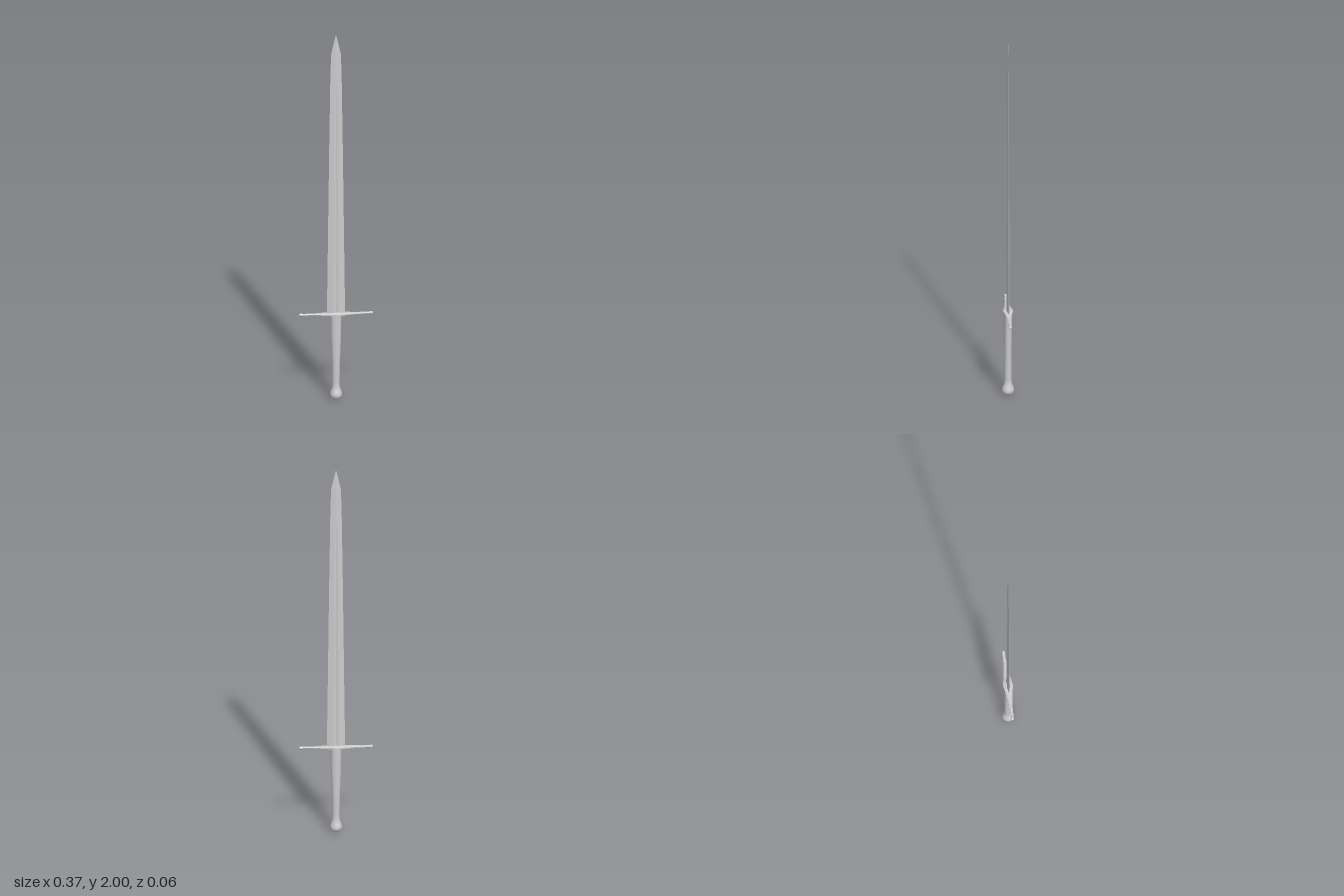
import * as THREE from 'three';

// Skin a list of closed rings (all the same length, counter-clockwise seen from the far end) and cap both ends
function loft(rings, flatShading) {
  const n = rings[0].length, index = [];
  const points = rings.flat();
  for (let r = 0; r < rings.length - 1; r++) {
    for (let i = 0; i < n; i++) {
      const a = r * n + i, b = r * n + (i + 1) % n;
      index.push(a, b, b + n, a, b + n, a + n);
    }
  }
  for (const r of [0, rings.length - 1]) {
    const ring = rings[r], start = points.length;
    const centre = [0, 1, 2].map(k => ring.reduce((sum, p) => sum + p[k], 0) / n);
    points.push(...ring.map(p => [...p]), centre);
    for (let i = 0; i < n; i++) {
      const a = start + i, b = start + (i + 1) % n, c = start + n;
      if (r === 0) index.push(c, b, a);
      else index.push(c, a, b);
    }
  }
  const geometry = new THREE.BufferGeometry();
  geometry.setAttribute('position', new THREE.Float32BufferAttribute(points.flat(), 3));
  geometry.setIndex(index);
  geometry.computeVertexNormals();
  return new THREE.Mesh(geometry, new THREE.MeshStandardMaterial({ color: 0xcccccc, flatShading }));
}

// Horizontal ellipse ring at height y
function ellipse(y, rx, rz, sides = 20) {
  return Array.from({ length: sides }, (_, i) => {
    const a = i / sides * Math.PI * 2;
    return [rx * Math.cos(a), y, -rz * Math.sin(a)];
  });
}

export function createModel() {
  const sword = new THREE.Group();
  sword.name = 'sword';

  // Blade: height, half width, ridge offset, half thickness at ridge and at the fuller's floor
  const blade = loft([
    [0.465, 0.046, 0.013, 0.0075, 0.003],
    [0.67, 0.043, 0.012, 0.0065, 0.0025],
    [1.32, 0.035, 0.010, 0.005, 0.002],
    [1.66, 0.030, 0.008, 0.0042, 0.002],
    [1.73, 0.029, 0.004, 0.0038, 0.0038],
    [1.89, 0.025, 0.003, 0.0033, 0.0033],
    [1.95, 0.012, 0.0015, 0.002, 0.002],
    [2.0, 0.0004, 0.0001, 0.0002, 0.0002],
  ].map(([y, w, r, t, f]) => [
    [w, y, 0], [r, y, -t], [0, y, -f], [-r, y, -t],
    [-w, y, 0], [-r, y, t], [0, y, f], [r, y, t],
  ]), true);
  blade.name = 'blade';
  sword.add(blade);

  // Crossguard: octagonal sections along x as [x, half height, half depth], mirrored
  const half = [
    [0.186, 0.003, 0.003], [0.181, 0.0065, 0.007], [0.172, 0.0065, 0.007], [0.165, 0.0045, 0.0065],
    [0.1, 0.0048, 0.009], [0.05, 0.006, 0.0155], [0.02, 0.009, 0.0215],
  ];
  const stations = [...half.map(([x, h, d]) => [-x, h, d]), [0, 0.0095, 0.025], ...half.slice().reverse()];
  const guard = loft(stations.map(([x, h, d]) =>
    [[1, 0.45], [0.5, 1], [-0.5, 1], [-1, 0.45], [-1, -0.45], [-0.5, -1], [0.5, -1], [1, -0.45]]
      .map(([u, v]) => [x, 0.469 + h * v, -d * u])
  ).map(ring => ring.reverse()), true);
  guard.name = 'crossguard';
  // Rings must wind about +x for outward faces
  guard.material.side = THREE.DoubleSide;
  sword.add(guard);

  // Grip: oval, widening towards the guard
  const grip = loft([
    [0.05, 0.018, 0.018], [0.2, 0.02, 0.0185], [0.34, 0.0255, 0.019], [0.465, 0.027, 0.019],
  ].map(s => ellipse(...s)), false);
  grip.name = 'grip';
  sword.add(grip);

  // Pommel: pear-shaped knob flowing into the grip
  const profile = [
    [0, 0.003], [0.008, 0.004], [0.018, 0.008], [0.026, 0.014], [0.0305, 0.024], [0.0305, 0.035],
    [0.027, 0.047], [0.022, 0.06], [0.019, 0.075], [0.018, 0.095],
  ].map(([r, y]) => new THREE.Vector2(r, y));
  profile[0].y = 0;
  const pommel = new THREE.Mesh(
    new THREE.LatheGeometry(profile, 24),
    new THREE.MeshStandardMaterial({ color: 0xcccccc })
  );
  pommel.name = 'pommel';
  sword.add(pommel);

  return sword;
}
